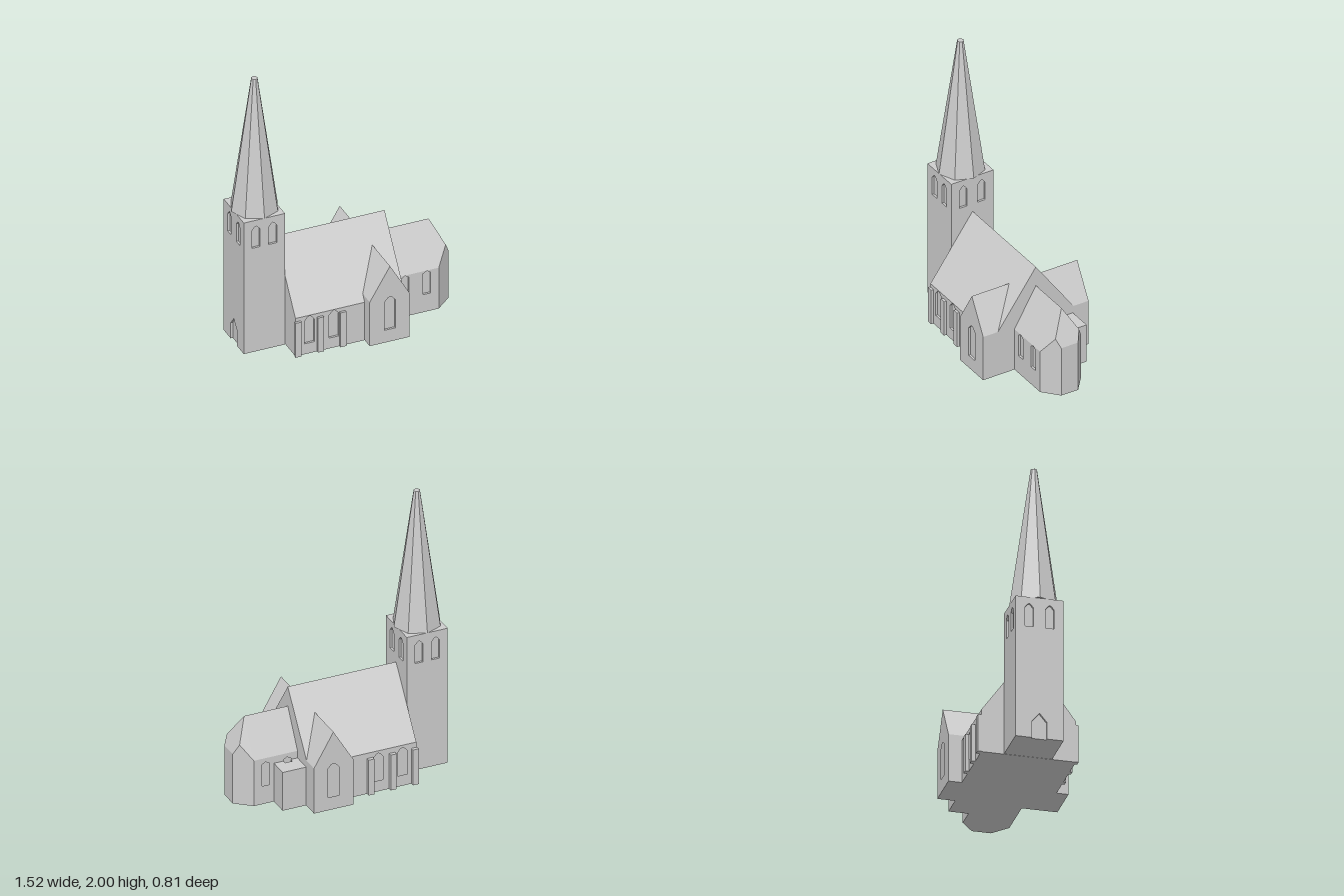
import * as THREE from 'three';
import { ConvexGeometry } from 'three/addons/geometries/ConvexGeometry.js';

const D = 0.015; // depth of window and door recesses
const stone = new THREE.MeshStandardMaterial({ color: 0xcccccc });
stone.name = 'pale stone';

const toShape = (pts) => new THREE.Shape(pts.map(([x, y]) => new THREE.Vector2(x, y)));
const rect = (x0, x1, y0, y1) => [[x0, y0], [x1, y0], [x1, y1], [x0, y1]];

// Pointed opening, centred on u
const lancet = (u, w, y0, shoulder, tip) => [
  [u - w / 2, y0], [u + w / 2, y0], [u + w / 2, shoulder],
  [u + w * 0.2, tip - 0.008], [u, tip], [u - w * 0.2, tip - 0.008], [u - w / 2, shoulder],
];

function extrude(pts, depth, holes = []) {
  const shape = toShape(pts);
  holes.forEach((h) => shape.holes.push(toShape(h)));
  return new THREE.ExtrudeGeometry(shape, { depth, bevelEnabled: false });
}

export function createModel() {
  const model = new THREE.Group();
  model.name = 'church';

  const add = (name, geometry, parent = model) => {
    const mesh = new THREE.Mesh(geometry, stone);
    mesh.name = name;
    parent.add(mesh);
    return mesh;
  };
  const box = (name, x0, x1, y0, y1, z0, z1, parent) =>
    add(name, new THREE.BoxGeometry(x1 - x0, y1 - y0, z1 - z0)
      .translate((x0 + x1) / 2, (y0 + y1) / 2, (z0 + z1) / 2), parent);
  // Plan outline of [x, z] points raised from y0 to y1
  const plan = (name, pts, y0, y1) =>
    add(name, extrude(pts.map(([x, z]) => [x, -z]), y1 - y0).rotateX(-Math.PI / 2).translate(0, y0, 0));
  // Wall skin with openings, outer face at z; negative z faces the back
  const skin = (name, z, outline, holes) => {
    const s = Math.sign(z);
    const flip = (pts) => pts.map(([x, y]) => [x * s, y]);
    const g = extrude(flip(outline), D, holes.map(flip)).translate(0, 0, Math.abs(z) - D);
    if (s < 0) g.rotateY(Math.PI);
    return add(name, g);
  };

  // Tower: inset core with four skins, paired belfry openings on each
  const tower = new THREE.Group();
  tower.name = 'tower';
  tower.position.x = -0.595;
  model.add(tower);
  const hx = 0.147, hz = 0.1625, top = 1.01;
  box('towerCore', -hx + D, hx - D, 0, top, -hz + D, hz - D, tower);
  for (let i = 0; i < 4; i++) {
    const side = i % 2 === 1;
    const half = side ? hz - D : hx;
    const off = side ? 0.07 : 0.06;
    // the west wall has a pointed doorway at the ground
    const outline = i === 3
      ? [[-half, 0], [-0.05, 0], [-0.05, 0.12], [0, 0.18], [0.05, 0.12], [0.05, 0], [half, 0], [half, top], [-half, top]]
      : rect(-half, half, 0, top);
    const holes = [-off, off].map((u) => lancet(u, 0.058, 0.8, 0.935, 0.965));
    const g = extrude(outline, D, holes)
      .translate(0, 0, (side ? hx : hz) - D)
      .rotateY(i * Math.PI / 2);
    add('towerWall', g, tower);
  }

  // Eight-sided spire with a blunt tip
  add('spire', new THREE.CylinderGeometry(0.022, 0.165, 0.99, 8).toNonIndexed()
    .translate(0, 1.505, 0), tower).geometry.computeVertexNormals();

  // Nave: core, window walls, pitched roof
  const nx0 = -0.445, nx1 = 0.335, nb = -0.315, nf = 0.325, eave = 0.292;
  box('naveCore', nx0, nx1, 0, eave, nb + D, nf - D);
  for (const z of [nf, nb]) {
    skin('naveWall', z, rect(nx0, nx1, 0, eave),
      [-0.345, -0.17].map((u) => lancet(u, 0.07, 0.08, 0.255, 0.288)));
  }
  const naveEnd = [[-nf, eave], [-nb, eave], [-nb, 0.304], [0, 0.745]];
  add('naveRoof', extrude(naveEnd, nx1 - nx0).rotateY(Math.PI / 2).translate(nx0, 0, 0));

  // Buttresses along both nave walls
  for (const x of [-0.43, -0.27, -0.11]) {
    box('buttress', x - 0.021, x + 0.021, 0, 0.265, 0.3245, 0.342);
    box('buttress', x - 0.021, x + 0.021, 0, 0.265, -0.34, -0.3145);
  }

  // Transept: gabled cross-arm with one window at each end
  const gable = [[0.05, 0], [0.335, 0], [0.335, 0.338], [0.195, 0.58], [0.05, 0.338]];
  const tz = 0.406;
  add('transept', extrude(gable, 2 * (tz - D)).translate(0, 0, -(tz - D)));
  for (const z of [tz, -tz]) {
    skin('transeptGable', z, gable, [lancet(0.195, 0.08, 0.095, 0.31, 0.345)]);
  }

  // Chancel with angled apse
  const cx = 0.335, ax = 0.65, ex = 0.76, cf = 0.165, cb = -0.15, ce = 0.315;
  plan('chancelCore', [
    [cx, cf - D], [ax, cf - D], [ax, cf], [ex, 0.07], [ex, -0.06],
    [ax, cb], [ax, cb + D], [cx, cb + D],
  ], 0, ce);
  for (const z of [cf, cb]) {
    skin('chancelWall', z, rect(cx, ax, 0, ce),
      [0.41, 0.565].map((u) => lancet(u, 0.055, 0.135, 0.296, 0.313)));
  }
  // Hipped roof over chancel and apse
  const roofPoints = [
    [cx, ce, cf], [ax, ce, cf], [ex, ce, 0.07], [ex, ce, -0.06], [ax, ce, cb], [cx, ce, cb],
    [cx, 0.34, cb], [ax, 0.34, cb],
    [ex, 0.37, 0.07], [ex, 0.37, -0.06], [0.73, 0.434, 0.096], [0.724, 0.445, -0.089],
    [cx, 0.6, 0], [ax, 0.6, 0],
  ];
  add('chancelRoof', new ConvexGeometry(roofPoints.map((p) => new THREE.Vector3(...p))));

  // Flat-topped vestry behind the chancel, notched at the chancel window
  const vb = -0.285;
  box('vestryBase', cx, 0.505, 0, 0.135, vb, cb);
  plan('vestry', [
    [cx, vb], [0.505, vb], [0.505, cb], [0.4375, cb], [0.4375, -0.175],
    [0.3825, -0.175], [0.3825, cb], [cx, cb],
  ], 0.135, 0.287);

  return model;
}
